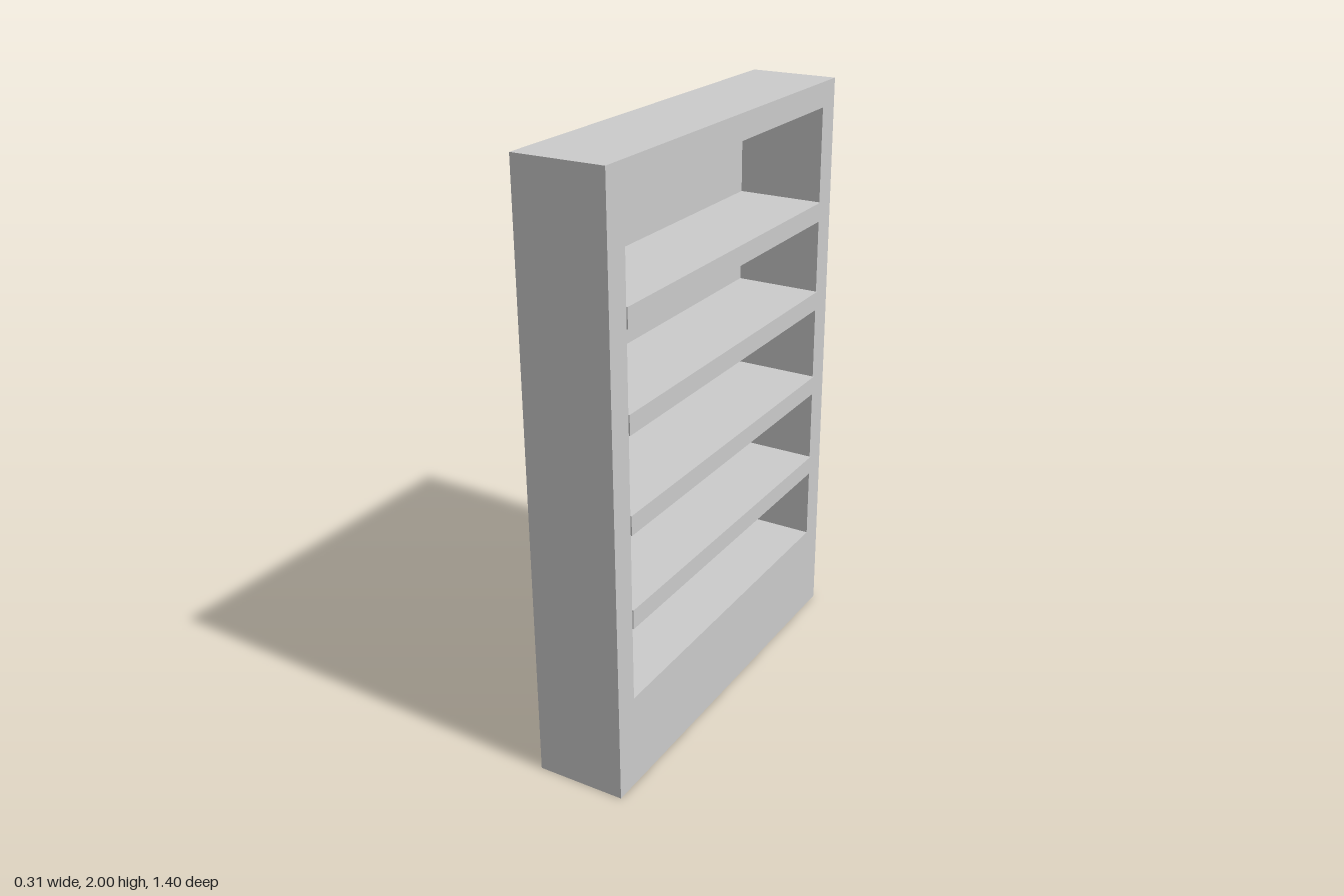
import * as THREE from 'three';

const WIDTH = 1.396, HEIGHT = 2;          // case size along z and y
const BACK = -0.149, FRONT = 0.153;       // case depth along x
const PANEL = 0.003;                      // back panel thickness
const OPEN_W = 1.224, OPEN_BOTTOM = 0.322, OPEN_TOP = 1.916;
const SHELF_BACK = -0.158, SHELF_FRONT = 0.157, SHELF_H = 0.065;
const SHELF_TOPS = [0.638, 0.956, 1.276, 1.595];

function rectangle(target, w, y0, y1) {
  target.moveTo(-w / 2, y0);
  target.lineTo(w / 2, y0);
  target.lineTo(w / 2, y1);
  target.lineTo(-w / 2, y1);
  target.closePath();
  return target;
}

export function createModel() {
  const group = new THREE.Group();
  group.name = 'bookcase';
  const material = new THREE.MeshStandardMaterial({ color: 0xcccccc });

  const add = (name, geometry, x, y) => {
    const mesh = new THREE.Mesh(geometry, material);
    mesh.name = name;
    mesh.position.set(x, y, 0);
    group.add(mesh);
  };

  // Case: sides, top rail and solid plinth around one tall opening
  const outline = rectangle(new THREE.Shape(), WIDTH, 0, HEIGHT);
  outline.holes.push(rectangle(new THREE.Path(), OPEN_W, OPEN_BOTTOM, OPEN_TOP));
  const frame = new THREE.ExtrudeGeometry(outline, {
    depth: FRONT - BACK - PANEL, bevelEnabled: false,
  });
  frame.rotateY(Math.PI / 2);
  add('caseFrame', frame, BACK + PANEL, 0);

  // Thin panel closing the back
  add('backPanel', new THREE.BoxGeometry(PANEL, HEIGHT, WIDTH), BACK + PANEL / 2, HEIGHT / 2);

  // Shelves, standing slightly proud of the case at front and back
  const shelf = new THREE.BoxGeometry(SHELF_FRONT - SHELF_BACK, SHELF_H, OPEN_W);
  SHELF_TOPS.forEach((top, i) => {
    add(`shelf${i + 1}`, shelf, (SHELF_FRONT + SHELF_BACK) / 2, top - SHELF_H / 2);
  });

  return group;
}
